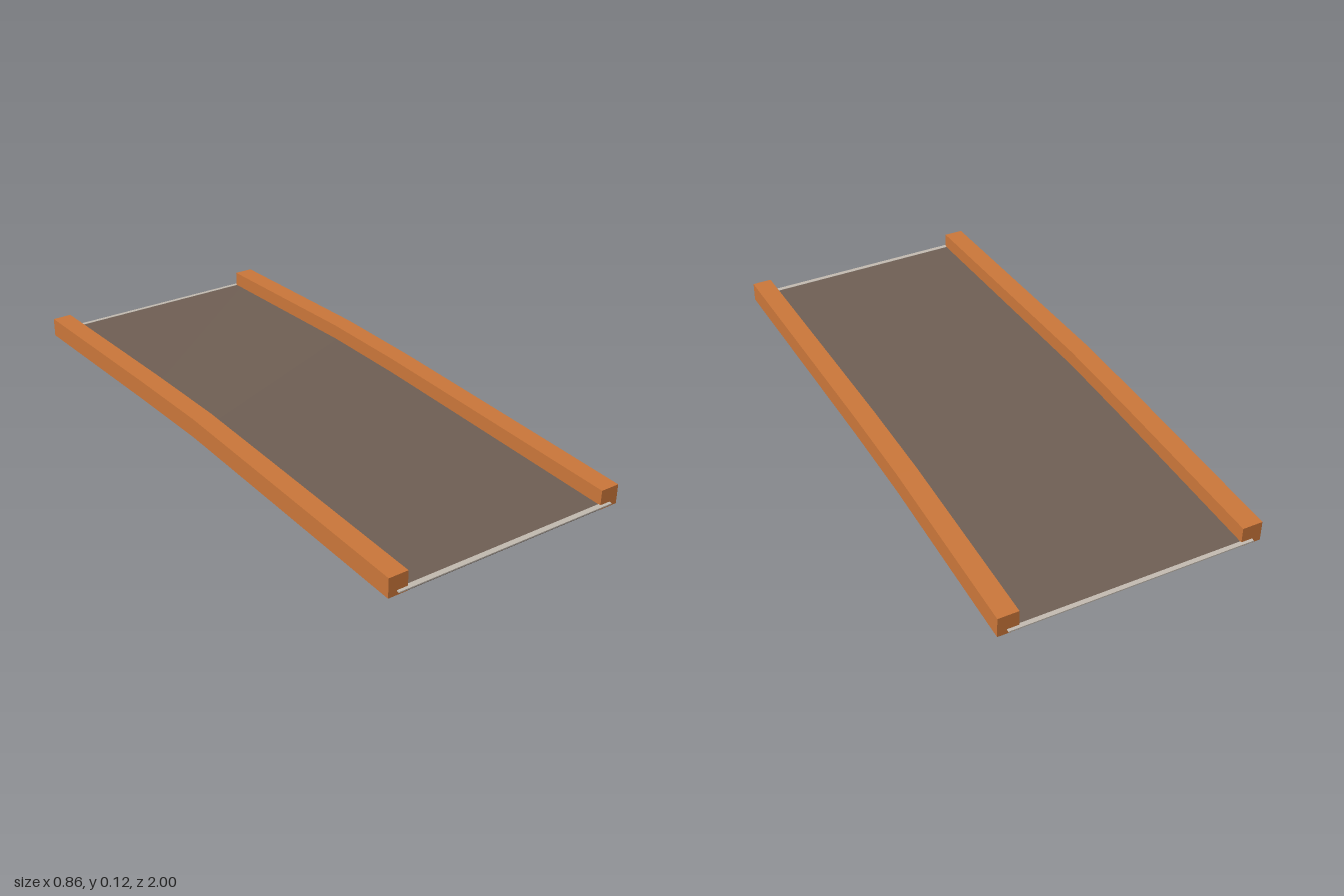
import * as THREE from 'three';

// Underside height of the span at stations along z, for the left (+x) and right (-x) edges
const STATIONS = [
  { z: 1, left: 0.007, right: 0.028 },
  { z: 0.33, left: 0.022, right: 0.043 },
  { z: 0, left: 0.029, right: 0.05 },
  { z: -0.33, left: 0.029, right: 0.041 },
  { z: -1, left: 0.001, right: 0.015 },
];
const HALF_WIDTH = 0.43;

function baseHeight(x, z) {
  let i = 0;
  while (i < STATIONS.length - 2 && z < STATIONS[i + 1].z) i++;
  const a = STATIONS[i], b = STATIONS[i + 1];
  const t = (a.z - z) / (a.z - b.z);
  const left = a.left + (b.left - a.left) * t;
  const right = a.right + (b.right - a.right) * t;
  return right + (left - right) * (x + HALF_WIDTH) / (2 * HALF_WIDTH);
}

// Sweeps a four-cornered section [x, height] along z, following the arch and cross slope
function sweep(name, section, zStart, zEnd, material) {
  const inner = STATIONS.map((s) => s.z).filter((z) => z < zStart && z > zEnd);
  const zs = [zStart, ...inner, zEnd];
  const positions = [];
  for (const z of zs) {
    for (const [x, h] of section) positions.push(x, baseHeight(x, z) + h, z);
  }
  const index = [0, 1, 2, 0, 2, 3];
  for (let i = 0; i < zs.length - 1; i++) {
    for (let j = 0; j < 4; j++) {
      const a = i * 4 + j, b = i * 4 + (j + 1) % 4;
      index.push(a, a + 4, b, b, a + 4, b + 4);
    }
  }
  const e = (zs.length - 1) * 4;
  index.push(e, e + 2, e + 1, e, e + 3, e + 2);
  const indexed = new THREE.BufferGeometry();
  indexed.setAttribute('position', new THREE.Float32BufferAttribute(positions, 3));
  indexed.setIndex(index);
  const geometry = indexed.toNonIndexed();
  geometry.computeVertexNormals();
  const mesh = new THREE.Mesh(geometry, material);
  mesh.name = name;
  return mesh;
}

// Counter-clockwise section seen from the front
const rect = (x0, x1, y0, y1) => [[x0, y0], [x1, y0], [x1, y1], [x0, y1]];

export function createModel() {
  const model = new THREE.Group();
  model.name = 'bridgeDeck';

  const orange = new THREE.MeshStandardMaterial({ color: 0xc87539 });
  orange.name = 'orange rail';
  const brown = new THREE.MeshStandardMaterial({ color: 0x6e5e53 });
  brown.name = 'brown deck';
  const grey = new THREE.MeshStandardMaterial({ color: 0xc0b8ae });
  grey.name = 'pale grey joint';

  // Road deck, wider at the bottom so it covers the underside of the rails
  const deckSection = [[-0.429, -0.001], [0.429, -0.001], [0.4, 0.015], [-0.4, 0.015]];
  model.add(sweep('deck', deckSection, 0.988, -0.988, brown));

  // Side rails
  model.add(sweep('leftRail', rect(0.363, 0.43, 0, 0.066), 0.99, -0.99, orange));
  model.add(sweep('rightRail', rect(-0.43, -0.363, 0, 0.066), 0.99, -0.99, orange));

  // Thin joint strips across both ends
  const strip = rect(-0.4, 0.4, 0.012, 0.016);
  model.add(sweep('frontJoint', strip, 1, 0.982, grey));
  model.add(sweep('backJoint', strip, -0.985, -1, grey));

  return model;
}
